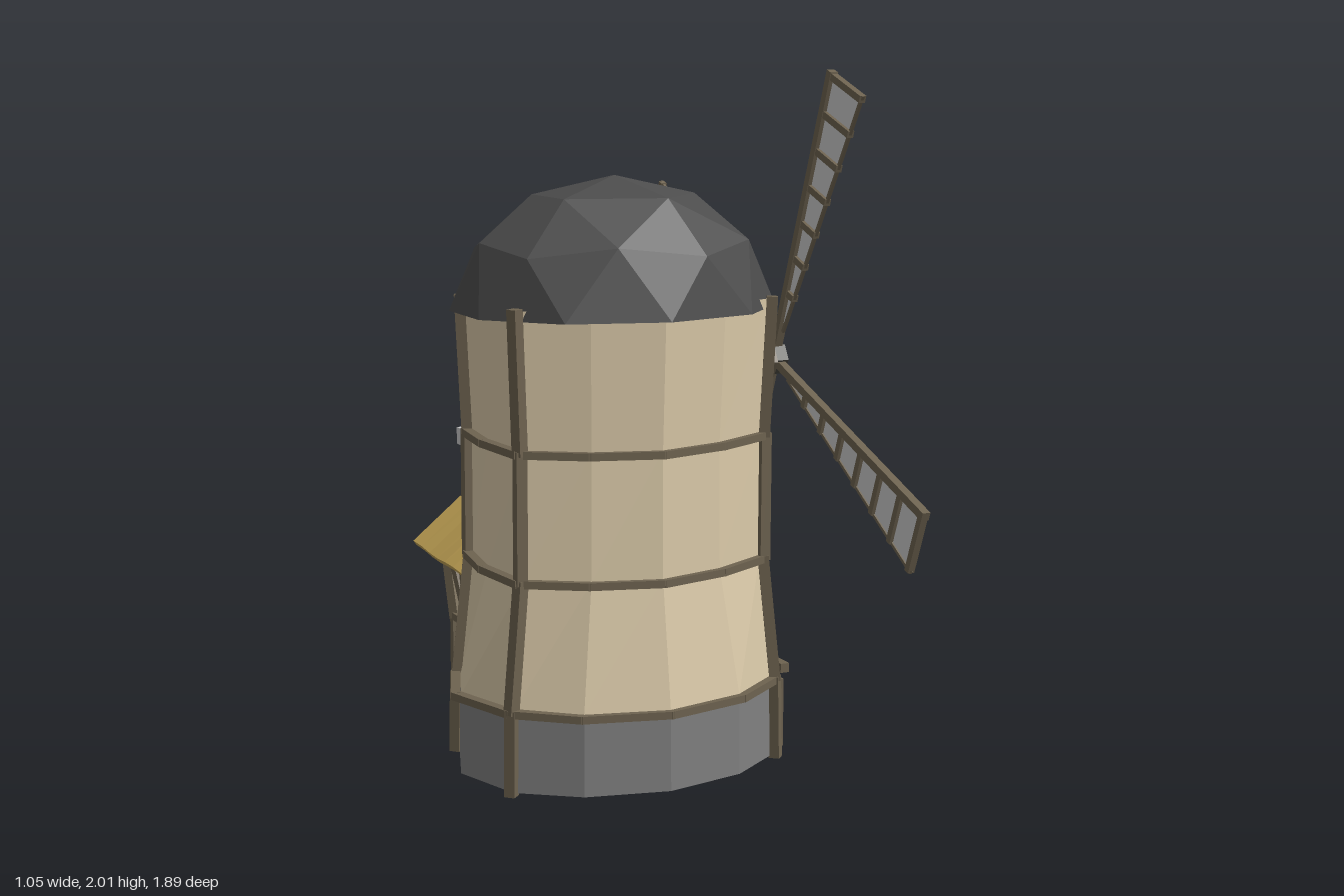
import * as THREE from 'three';

const mat = (color, side = THREE.FrontSide) => new THREE.MeshStandardMaterial({ color, flatShading: true, side });
const STONE = mat(0x808080), PLASTER = mat(0xdccbaa), TIMBER = mat(0x6e6350), THATCH = mat(0xc8a858),
  SLATE = mat(0x4c4c4c), DOOR = mat(0xa67f4f), BRICK = mat(0xbcbec0), IRON = mat(0x45443c),
  PANE = mat(0x77776f), CLOTH = mat(0xbcbcbc, THREE.DoubleSide);
const V = (x, y, z) => new THREE.Vector3(x, y, z);

function add(parent, name, geo, material, x = 0, y = 0, z = 0) {
  const m = new THREE.Mesh(geo, material);
  m.name = name;
  m.position.set(x, y, z);
  parent.add(m);
  return m;
}

// Square timber running from a to b
function beam(parent, name, a, b, w = 0.028, d = w) {
  const m = new THREE.Mesh(new THREE.BoxGeometry(w, d, a.distanceTo(b) + w * 0.4), TIMBER);
  m.name = name;
  m.position.copy(a).add(b).multiplyScalar(0.5);
  m.lookAt(b);
  parent.add(m);
}

// Oval twelve-sided tower: [height, radius x, radius z, post x, post z]
const CX = -0.012, CZ = 0.076;
const LEVELS = [[0, 0.488, 0.385, 0.412, 0.218], [0.235, 0.486, 0.38, 0.408, 0.214], [0.6, 0.4, 0.326, 0.372, 0.2],
  [0.965, 0.395, 0.322, 0.372, 0.2], [1.36, 0.412, 0.34, 0.388, 0.208]];
function corner(i, [y, rx, rz, px, pz], offX = 0, offZ = offX) {
  const a = i * Math.PI / 6, s = Math.sin(a), c = Math.cos(a);
  const post = i % 6 === 2 || i % 6 === 4;
  return V(CX + (post ? Math.sign(s) * px : s * rx) + s * offX, y, CZ + (post ? Math.sign(c) * pz : c * rz) + c * offZ);
}

function buildTower() {
  const g = new THREE.Group();
  g.name = 'tower';
  for (let k = 0; k < 4; k++) {
    const lo = LEVELS[k], hi = LEVELS[k + 1];
    const geo = new THREE.CylinderGeometry(1, 1, 1, 12, 1, k > 0);
    const p = geo.attributes.position;
    for (let i = 0; i < p.count; i++) {
      const L = p.getY(i) > 0 ? hi : lo, x = p.getX(i), z = p.getZ(i);
      const side = (Math.round(Math.atan2(x, z) * 6 / Math.PI) + 12) % 12;
      const v = Math.hypot(x, z) < 0.5 ? V(CX, L[0], CZ) : corner(side, L);
      p.setXYZ(i, v.x, v.y, v.z);
    }
    add(g, k ? 'plasterWall' : 'stoneBase', geo, k ? PLASTER : STONE);
    // Four corner posts follow the wall
    for (const i of [2, 4, 8, 10]) beam(g, 'towerPost', corner(i, lo, 0.01), corner(i, hi, 0.01), 0.032);
  }
  // Timber hoops, dipping slightly at front and back
  const hoop = (i, L) => {
    const v = corner(i % 12, L, 0.016, 0.004);
    v.y -= 0.01 * Math.cos(i * Math.PI / 6) ** 2;
    return v;
  };
  for (let k = 1; k < 4; k++)
    for (let i = 0; i < 12; i++) beam(g, 'hoop', hoop(i, LEVELS[k]), hoop(i + 1, LEVELS[k]), 0.028, 0.022);
  return g;
}

// Faceted half-sphere cap with a zigzag lower row
function buildCap() {
  const at = (deg, lat) => {
    const a = deg * Math.PI / 180, l = lat * Math.PI / 180;
    return V(-0.015 + 0.485 * Math.cos(l) * Math.sin(a), 1.33 + 0.38 * Math.sin(l), 0.074 + 0.384 * Math.cos(l) * Math.cos(a));
  };
  const E = k => at(36 * k, 0), M = j => at(18 + 36 * j, j % 2 ? 31.72 : 26.57), T = i => at(18 + 72 * i, 58.28);
  const pts = [];
  for (let k = 0; k < 10; k++) pts.push(E(k), E(k + 1), M(k), M(k), E(k + 1), M(k + 1), E(k + 1), E(k), V(-0.015, 1.33, 0.074));
  for (let i = 0; i < 5; i++) {
    const j = 2 * i;
    pts.push(M(j), M(j + 1), T(i), M(j + 9), M(j), T(i), T(i), M(j + 1), T(i + 1), T(i), T(i + 1), at(0, 90));
  }
  const geo = new THREE.BufferGeometry().setFromPoints(pts);
  geo.computeVertexNormals();
  const m = new THREE.Mesh(geo, SLATE);
  m.name = 'cap';
  return m;
}

// Barred window facing +x
function buildWindow(w, h) {
  const g = new THREE.Group();
  g.name = 'window';
  add(g, 'pane', new THREE.BoxGeometry(0.012, h, w), PANE);
  for (const s of [-1, 1]) {
    add(g, 'jamb', new THREE.BoxGeometry(0.03, h + 0.012, 0.016), IRON, 0, 0, s * w / 2);
    add(g, 'rail', new THREE.BoxGeometry(0.03, 0.016, w + 0.012), IRON, 0, s * h / 2, 0);
    add(g, 'glazingBar', new THREE.BoxGeometry(0.022, 0.008, w), IRON, 0, s * h / 6, 0);
  }
  add(g, 'mullion', new THREE.BoxGeometry(0.022, h, 0.009), IRON);
  return g;
}

// Door with a rounded head, facing +z
function archDoor(w, h, depth) {
  const s = new THREE.Shape();
  s.moveTo(-w / 2, 0).lineTo(w / 2, 0).lineTo(w / 2, h * 0.62);
  s.quadraticCurveTo(w * 0.45, h, 0, h).quadraticCurveTo(-w * 0.45, h, -w / 2, h * 0.62);
  return new THREE.ExtrudeGeometry(s, { depth, bevelEnabled: false, curveSegments: 4 });
}

function buildSails() {
  const g = new THREE.Group();
  g.name = 'sails';
  g.position.set(0.502, 1.155, 0.09);
  add(g, 'axleHousing', new THREE.CylinderGeometry(0.085, 0.085, 0.085, 6).rotateZ(Math.PI / 2), TIMBER, -0.075);
  add(g, 'hub', new THREE.CylinderGeometry(0.05, 0.05, 0.055, 6).rotateZ(Math.PI / 2), IRON, -0.006);
  const len = 0.9, width = r => 0.178 * r / len;
  const cloth = new THREE.Shape([[0, 0.1], [0, len], [width(len), len], [width(0.1), 0.1]].map(p => new THREE.Vector2(...p)));
  for (let k = 0; k < 4; k++) {
    const s = new THREE.Group();
    s.name = 'sail';
    add(s, 'sailCloth', new THREE.ShapeGeometry(cloth).rotateY(-Math.PI / 2), CLOTH);
    beam(s, 'spar', V(0, 0, 0), V(0, len, 0), 0.024);
    beam(s, 'sailEdge', V(0, 0.1, width(0.1)), V(0, len, width(len)), 0.009);
    for (let i = 0; i < 7; i++) {
      const r = len - 0.008 - i * 0.112;
      beam(s, 'sailBar', V(0, r, 0), V(0, r, width(r)), 0.02, 0.02);
    }
    s.rotation.x = 0.357 + k * Math.PI / 2;
    g.add(s);
  }
  return g;
}

function buildHouse() {
  const g = new THREE.Group();
  g.name = 'house';
  const MX = 0.025, back = -0.845;
  const extrude = (pts, z0, z1, steps = 1) => new THREE.ExtrudeGeometry(
    new THREE.Shape(pts.map(([x, y]) => new THREE.Vector2(MX + x, y))),
    { depth: z1 - z0, steps, bevelEnabled: false }).translate(0, 0, z0);
  add(g, 'houseBase', extrude([[-0.2, 0.02], [0.2, 0.02], [0.2, 0.21], [-0.2, 0.21]], back, -0.1), STONE);
  // Upper walls lean outward, including the gable
  const wall = extrude([[-0.2, 0.21], [0.2, 0.21], [0.228, 0.49], [0, 0.685], [-0.228, 0.49]], back, -0.1);
  const w = wall.attributes.position;
  for (let i = 0; i < w.count; i++) if (w.getZ(i) < -0.5) w.setZ(i, back - 0.07 * (w.getY(i) - 0.21));
  add(g, 'houseWall', wall, PLASTER);

  // Thatched roof, sagging gently along its length
  const roof = extrude([[0.315, 0.452], [0, 0.713], [-0.315, 0.452], [-0.305, 0.437], [0, 0.685], [0.305, 0.437]], -0.94, -0.13, 10);
  const p = roof.attributes.position;
  for (let i = 0; i < p.count; i++) {
    const z = p.getZ(i), x = p.getX(i) - MX;
    p.setXYZ(i, MX + x * (1 + 0.015 * Math.sin(z * 9)), p.getY(i) + 0.004 * Math.sin(z * 17 + x * 5), z + 0.006 * Math.sin(x * 22));
  }
  add(g, 'roof', roof, THATCH);

  // Framing, mirrored left and right
  const gable = (x, y) => V(MX + x, y, back - 0.004 - 0.07 * Math.max(0, y - 0.21));
  for (const s of [-1, 1]) {
    const at = (y, z) => V(MX + s * (0.203 + (y - 0.21) * 0.1), y, z);
    for (const z of [-0.25, -0.41, -0.555, -0.705]) beam(g, 'post', at(0.21, z), at(0.49, z), 0.026);
    for (const [a, b] of [[-0.42, -0.53], [-0.715, -0.815]]) beam(g, 'brace', at(0.22, a), at(0.47, b), 0.024);
    beam(g, 'sill', at(0.212, -0.12), at(0.212, back), 0.024);
    beam(g, 'wallPlate', at(0.475, -0.12), at(0.475, back), 0.024);
    beam(g, 'cornerPost', gable(s * 0.2, 0.02), gable(s * 0.2, 0.21), 0.028);
    beam(g, 'cornerPost', gable(s * 0.202, 0.21), gable(s * 0.226, 0.475), 0.03);
    beam(g, 'rafter', gable(s * 0.235, 0.478), gable(0, 0.672), 0.026);
    beam(g, 'gableStrut', gable(s * 0.085, 0.47), gable(s * 0.085, 0.595), 0.022);
    beam(g, 'doorPost', gable(s * 0.065, 0.02), gable(s * 0.065, 0.21), 0.018);
  }
  beam(g, 'sill', gable(-0.205, 0.212), gable(0.205, 0.212), 0.028);
  beam(g, 'tieBeam', gable(-0.23, 0.465), gable(0.23, 0.465), 0.028);
  add(g, 'backDoor', archDoor(0.112, 0.175, 0.03), DOOR, MX, 0.02, back - 0.012);

  const win = buildWindow(0.09, 0.11);
  win.position.set(MX + 0.203, 0.11, -0.73);
  g.add(win);

  // Chimney
  add(g, 'chimney', new THREE.BoxGeometry(0.1, 0.3, 0.13), BRICK, -0.1, 0.645, -0.778);
  add(g, 'chimneyCap', new THREE.BoxGeometry(0.12, 0.055, 0.16), BRICK, -0.1, 0.816, -0.778);
  return g;
}

// Tower entrance on the sail side
function buildEntrance() {
  const g = new THREE.Group();
  g.name = 'entrance';
  add(g, 'frontDoor', archDoor(0.19, 0.19, 0.06).rotateY(Math.PI / 2), DOOR, 0.422, 0, 0.11);
  for (const z of [0.01, 0.212]) beam(g, 'doorJamb', V(0.465, 0, z), V(0.465, 0.2, z), 0.022);
  beam(g, 'lintel', V(0.478, 0.238, 0.07), V(0.478, 0.238, 0.22), 0.028);
  return g;
}

export function createModel() {
  const model = new THREE.Group();
  model.name = 'windmill';
  const win = buildWindow(0.1, 0.105);
  win.position.set(0.383, 0.825, 0.09);
  win.rotation.z = -0.08;
  model.add(buildTower(), buildCap(), buildSails(), buildHouse(), buildEntrance(), win);
  return model;
}
